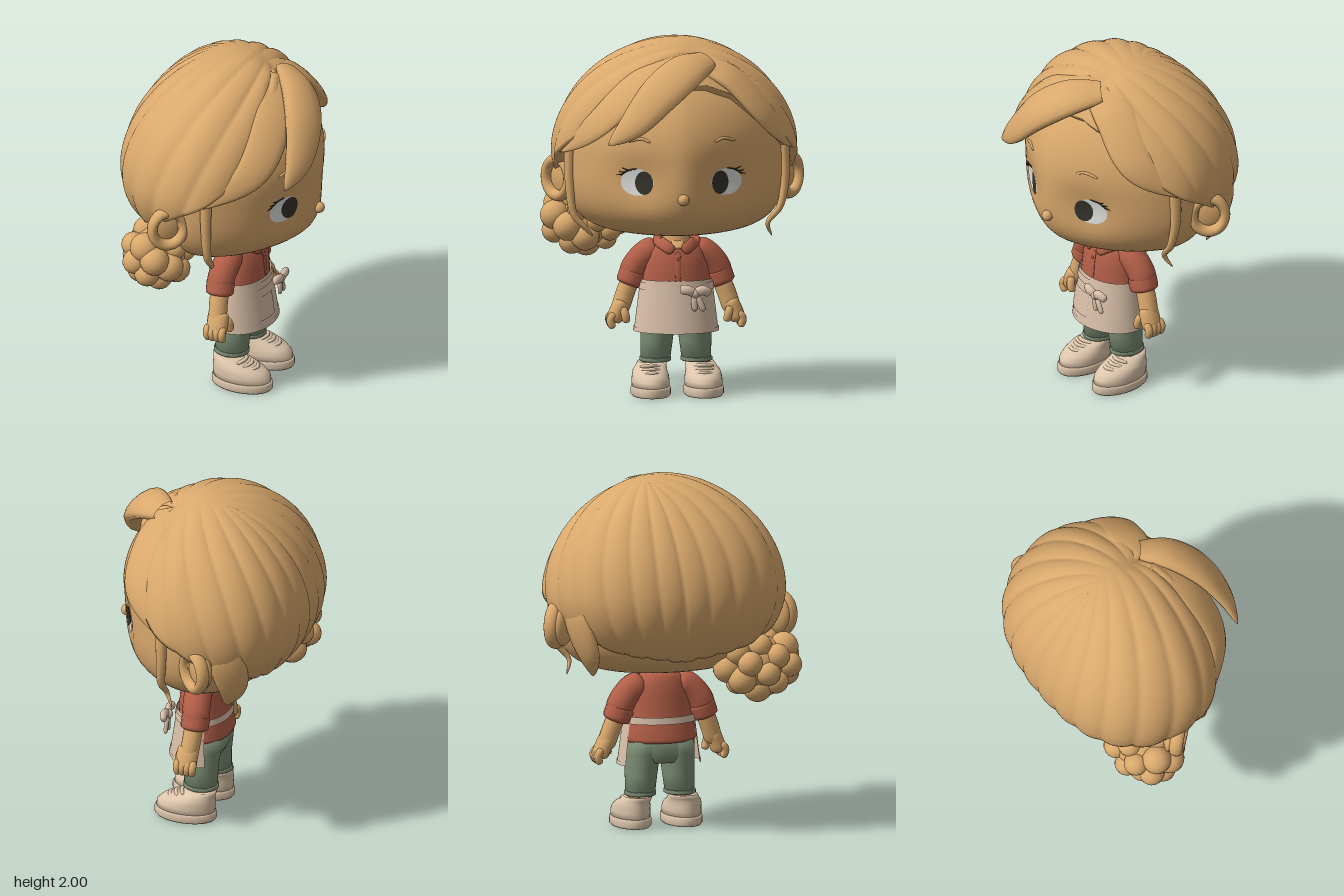
import * as THREE from 'three';
import { mergeVertices } from 'three/addons/utils/BufferGeometryUtils.js';

const V = (x, y, z) => new THREE.Vector3(x, y, z);
const mat = (name, color, side = THREE.FrontSide) => {
  const m = new THREE.MeshStandardMaterial({ color, side });
  m.name = name;
  return m;
};
const { sin, cos, abs, min, max, pow, exp, PI } = Math;

// Smooth surface from a rule f(u, v) -> Vector3
function grid(nu, nv, f) {
  const pos = [], idx = [];
  for (let j = 0; j <= nv; j++)
    for (let i = 0; i <= nu; i++) pos.push(...f(i / nu, j / nv).toArray());
  for (let j = 0; j < nv; j++)
    for (let i = 0; i < nu; i++) {
      const a = j * (nu + 1) + i, c = a + nu + 1;
      idx.push(a, a + 1, c, a + 1, c + 1, c);
    }
  let g = new THREE.BufferGeometry();
  g.setAttribute('position', new THREE.Float32BufferAttribute(pos, 3));
  g.setIndex(idx);
  g = mergeVertices(g, 1e-5);
  g.computeVertexNormals();
  return g;
}

// Stacked ellipses, rows of [y, rx, rz, cz, cx], closed at both ends
function loft(rows, seg = 36) {
  const all = [rows[0], ...rows, rows[rows.length - 1]];
  const n = all.length - 1;
  return grid(seg, n, (u, v) => {
    const j = Math.round(v * n), [y, rx, rz, cz = 0, cx = 0] = all[j];
    const k = j === 0 || j === n ? 0 : 1, a = u * 2 * PI;
    return V(cx + k * rx * sin(a), y, cz + k * rz * cos(a));
  });
}

// Tapered sweep; the flat side faces away from the given centre
const roundEnds = v => Math.sqrt(max(0, 1 - pow(2 * v - 1, 6)));
const lockTaper = v => pow(max(0, sin(PI * (0.15 + 0.85 * v))), 0.75);
const tailTaper = v => pow(max(0, 1 - v), 0.6);
function sweep(pts, w, th = w, prof = roundEnds, centre = V(0, 0.6, -6), nv = 24) {
  const curve = new THREE.CatmullRomCurve3(pts.map(p => V(...p)));
  return grid(14, nv, (u, v) => {
    const p = curve.getPoint(v), t = curve.getTangent(v);
    const out = p.clone().sub(centre);
    out.addScaledVector(t, -out.dot(t)).normalize();
    const side = out.clone().cross(t), f = prof(v), a = u * 2 * PI;
    return p.addScaledVector(side, w * f * cos(a)).addScaledVector(out, th * f * sin(a));
  });
}

// Head and hair forms: tapering to the front, the head flatter below the middle
const CY = 1.37, HC = V(0, CY, 0);
const HEAD = { a: 0.62, f: 0.528, b: 0.42, up: 0.57, dn: 0.47, nf: 1.62, nb: 2.1, pu: 2, pd: 3.5 };
const HAIR = { a: 0.685, f: 0.565, b: 0.585, up: 0.63, dn: 0.5, nf: 1.65, nb: 2.35, pu: 1.87, pd: 2 };
function radius(d, s) {
  const n = d.z > 0 ? s.nf : s.nb;
  const q = pow(pow(abs(d.x) / s.a, n) + pow(abs(d.z) / (d.z > 0 ? s.f : s.b), n), 1 / n);
  const p = d.y > 0 ? s.pu : s.pd;
  return pow(pow(q, p) + pow(abs(d.y) / (d.y > 0 ? s.up : s.dn), p), -1 / p);
}
function frontZ(x, y, s) {
  const h = y - CY, p = h > 0 ? s.pu : s.pd, c = h > 0 ? s.up : s.dn;
  const q = pow(max(0, 1 - pow(abs(h) / c, p)), s.nf / p);
  return s.f * pow(max(0, q - pow(abs(x) / s.a, s.nf)), 1 / s.nf);
}
const socket = (x, y) => 0.04 * exp(-((abs(x) - 0.24) ** 2 + (y - 1.24) ** 2) / 0.02);
const onFace = (x, y, off) => [x, y, frontZ(x, y, HEAD) - socket(x, y) + off];
const onHair = ([x, y, off]) => [x, y, frontZ(x, y, HAIR) + off];
const patch = (cx, cy, rx, ry, off) => grid(32, 6, (u, v) => V(...onFace(
  cx + rx * (1 - v) * cos(u * 2 * PI), cy + ry * (1 - v) * sin(u * 2 * PI), off)));

// Polar angle of the hair's lower edge by direction, in degrees from the front
const HEM = [[0, 46], [20, 46], [40, 53], [63, 76], [80, 89], [110, 106], [140, 122], [180, 134]];
function hem(phi) {
  const d = abs(phi) * 180 / PI;
  const i = max(1, HEM.findIndex(h => h[0] >= d - 1e-6));
  const [d0, t0] = HEM[i - 1], [d1, t1] = HEM[i];
  return (t0 + (t1 - t0) * (d - d0) / (d1 - d0)) * PI / 180;
}

export function createModel() {
  const tan = mat('skin and hair tan', 0xd9a86c), shirt = mat('shirt rust', 0xb35f48);
  const apron = mat('apron cream', 0xd9bfa8, THREE.DoubleSide), pants = mat('trousers sage', 0x7c8d74);
  const shoe = mat('shoe beige', 0xddc5ab), white = mat('eye white', 0xe2e2e0), dark = mat('eye dark', 0x35332b);
  const root = new THREE.Group(), body = new THREE.Group();
  root.name = 'figure';
  body.name = 'body';
  body.rotation.y = PI / 2; // the figure looks along +x
  root.add(body);
  const add = (name, geo, m, p) => {
    const mesh = new THREE.Mesh(geo, m);
    mesh.name = name;
    if (p) mesh.position.set(...p);
    body.add(mesh);
    return mesh;
  };

  // Head and nose
  add('head', grid(80, 56, (u, v) => {
    const a = (u - 0.5) * 2 * PI, t = PI * (1 - v);
    const d = V(sin(t) * sin(a), cos(t), sin(t) * cos(a));
    const p = d.multiplyScalar(radius(d, HEAD)).add(HC);
    if (p.z > 0) p.z -= socket(p.x, p.y) * min(1, p.z * 4);
    return p;
  }), tan);
  add('nose', new THREE.SphereGeometry(0.032, 20, 14), tan, [0, 1.15, 0.522]);

  // Hair cap: strands fan out and sweep back from a parting line
  add('hairCap', grid(252, 48, (u, v) => {
    const s = 1 - v, t = min(1, s / 0.92), tuck = max(0, (s - 0.92) / 0.08);
    const phi = (u - 0.5) * 2 * PI, th = t * hem(phi), k = 1 - t;
    const d = V(sin(th) * sin(phi) + 0.19 * k, cos(th), sin(th) * cos(phi) + k * (0.12 + 0.28 * cos(phi))).normalize();
    const lobe = pow(abs(sin(9 * (phi - 0.55 * t * sin(phi)))), 0.6);
    const part = 0.045 * max(0, cos(phi)) * exp(-36 * t * t);
    const r = radius(d, HAIR) * (1.008 - part - 0.025 * (1 - lobe) * min(1, t * 3)) * (1 - 0.4 * tuck);
    return d.multiplyScalar(r).add(HC);
  }), tan);

  // Loose locks: [points, width, thickness, taper]
  const locks = {
    fringe: [[[0.15, 1.9, 0.25], [0.03, 1.86, 0.38], [-0.12, 1.75, 0.48], [-0.28, 1.58, 0.52], [-0.42, 1.46, 0.5]], 0.125, 0.058, lockTaper],
    leftSweep: [[[0.04, 1.91, -0.02], [-0.22, 1.78, -0.01], [-0.46, 1.56, 0], [-0.655, 1.37, -0.02]].map(onHair), 0.115, 0.034, lockTaper],
    rightSweep: [[[0.12, 1.88, -0.02], [0.29, 1.8, -0.01], [0.49, 1.58, 0], [0.655, 1.38, -0.02]].map(onHair), 0.12, 0.034, lockTaper],
    leftSideStrand: [[[-0.6, 1.42, 0.1], [-0.6, 1.2, 0.1], [-0.575, 1.02, 0.1], [-0.5, 0.93, 0.09], [-0.465, 0.89, 0.06]], 0.035, 0.03, tailTaper],
    rightSideStrand: [[[0.6, 1.42, 0.1], [0.605, 1.2, 0.1], [0.575, 1.05, 0.11], [0.51, 0.96, 0.1], [0.535, 0.88, 0.06]], 0.035, 0.03, tailTaper],
    rightNapeLock: [[[0.59, 1.4, -0.24], [0.57, 1.24, -0.28], [0.515, 1.06, -0.29], [0.47, 0.92, -0.24]], 0.1, 0.045, lockTaper],
  };
  for (const [name, [pts, w, th, prof]] of Object.entries(locks))
    add(name, sweep(pts, w, th, prof, HC, 32), tan);

  // Curly low bun
  for (let i = 0; i < 24; i++) {
    const y = 1 - 2 * (i + 0.5) / 24, r = Math.sqrt(1 - y * y), a = i * 2.39996;
    add('bunCurl', new THREE.SphereGeometry(0.074 + 0.01 * sin(i * 5), 18, 12), tan,
      [-0.485 + 0.19 * r * cos(a), 0.95 + 0.138 * y, -0.24 + 0.14 * r * sin(a)]);
  }
  add('bunCore', new THREE.SphereGeometry(0.16, 20, 14), tan, [-0.485, 0.95, -0.24]);

  for (const s of [-1, 1]) {
    // Ears: a rim around a shallow filled bowl
    const rim = add('earRim', new THREE.TorusGeometry(0.096, 0.03, 14, 36), tan, [s * 0.645, 1.2, -0.11]);
    rim.scale.set(0.95, 1.08, 1.3);
    rim.rotation.y = s * 0.9;
    const bowl = add('earBowl', new THREE.SphereGeometry(0.108, 28, 18), tan, [s * 0.613, 1.2, -0.135]);
    bowl.scale.set(0.95, 1.08, 0.42);
    bowl.rotation.y = s * 0.9;

    // Eyes, lashes and brows
    add('eyeWhite', patch(s * 0.25, 1.24, 0.088, 0.076, 0.004), white);
    add('iris', patch(s * 0.213, 1.238, 0.048, 0.066, 0.007), dark);
    add('lashLine', sweep([onFace(s * 0.25, 1.318, 0.005), onFace(s * 0.3, 1.304, 0.005), onFace(s * 0.34, 1.275, 0.005)], 0.004), dark);
    for (const k of [0, 1, 2])
      add('lash', sweep([onFace(s * (0.3 + k * 0.015), 1.305 - k * 0.012, 0.005), onFace(s * (0.335 + k * 0.015), 1.32 - k * 0.022, 0.012)], 0.005, 0.005, tailTaper), dark);
    add('brow', sweep([onFace(s * 0.18, 1.47, 0), onFace(s * 0.23, 1.488, 0.002), onFace(s * 0.3, 1.468, 0)], 0.008), tan);

    // Sleeve, cuff, forearm and hand
    add('sleeve', sweep([[s * 0.09, 0.825, 0.045], [s * 0.165, 0.785, 0.04], [s * 0.225, 0.715, 0.03], [s * 0.255, 0.64, 0.025]], 0.078), shirt);
    add('cuff', sweep([[s * 0.232, 0.69, 0.027], [s * 0.262, 0.605, 0.03]], 0.08), shirt);
    add('forearm', sweep([[s * 0.25, 0.65, 0.03], [s * 0.285, 0.56, 0.035], [s * 0.32, 0.45, 0.045]], 0.053), tan);
    add('palm', sweep([[s * 0.295, 0.53, 0.045], [s * 0.325, 0.47, 0.048], [s * 0.35, 0.4, 0.05]], 0.046, 0.062), tan);
    for (let k = 0; k < 4; k++)
      add('finger', sweep([[s * 0.345, 0.46, 0.002 + k * 0.03], [s * 0.37, 0.42, 0.002 + k * 0.03], [s * 0.355, 0.372, 0.01 + k * 0.027]], 0.022), tan);
    add('thumb', sweep([[s * 0.3, 0.49, 0.09], [s * 0.288, 0.45, 0.105], [s * 0.28, 0.405, 0.1]], 0.023), tan);

    // Trouser leg, hem and ankle
    add('trouserLeg', loft([[0.186, 0.082, 0.094, 0.04, s * 0.115], [0.3, 0.09, 0.1, 0.045, s * 0.108],
      [0.42, 0.098, 0.115, 0.045, s * 0.1], [0.5, 0.1, 0.12, 0.045, s * 0.095]]), pants);
    add('trouserHem', loft([[0.184, 0.084, 0.096, 0.04, s * 0.115], [0.188, 0.089, 0.101, 0.04, s * 0.115],
      [0.204, 0.089, 0.101, 0.04, s * 0.115], [0.208, 0.084, 0.096, 0.04, s * 0.115]]), pants);
    add('ankle', new THREE.CylinderGeometry(0.062, 0.062, 0.1, 24), tan, [s * 0.125, 0.17, 0.045]);

    // Shoe
    const x = s * 0.148;
    add('shoeSole', loft([[0, 0.102, 0.17, 0.12, x], [0.012, 0.112, 0.18, 0.12, x], [0.045, 0.112, 0.18, 0.12, x], [0.055, 0.105, 0.172, 0.12, x]]), shoe);
    add('shoeUpper', loft([[0.04, 0.104, 0.172, 0.12, x], [0.085, 0.106, 0.17, 0.116, x], [0.115, 0.102, 0.155, 0.1, x],
      [0.14, 0.095, 0.126, 0.075, x], [0.16, 0.086, 0.1, 0.046, x - s * 0.01], [0.18, 0.08, 0.084, 0.025, x - s * 0.015], [0.175, 0.06, 0.066, 0.025, x - s * 0.015]]), shoe);
    for (let k = 0; k < 3; k++)
      add('shoeLace', sweep([[x - 0.06, 0.158 - k * 0.017, 0.115 + k * 0.032], [x, 0.168 - k * 0.017, 0.14 + k * 0.036], [x + 0.06, 0.158 - k * 0.017, 0.115 + k * 0.032]], 0.011), shoe);
    const tread = add('shoeTread', new THREE.CylinderGeometry(1, 1, 0.004, 36), tan, [x, 0.0015, 0.12]);
    tread.scale.set(0.098, 1, 0.165);

    // Collar wing
    add('collar', sweep([[s * 0.085, 0.885, 0.02], [s * 0.1, 0.865, 0.1], [s * 0.065, 0.842, 0.165], [s * 0.025, 0.812, 0.183]], 0.032, 0.013), shirt);

    // Bow loop and tail
    add('bowLoop', sweep([[0.09, 0.585, 0.245], [0.09 + s * 0.04, 0.605, 0.255], [0.09 + s * 0.085, 0.595 - s * 0.012, 0.24]], 0.027, 0.02), apron);
    add('bowTail', sweep([[0.09, 0.58, 0.24], [0.1 + s * 0.015, 0.54, 0.245], [0.115 + s * 0.025, 0.485, 0.243]], 0.018, 0.012), apron);
  }
  add('bowKnot', new THREE.SphereGeometry(0.028, 16, 12), apron, [0.09, 0.587, 0.245]);

  // Neck, shirt and hips
  add('neck', new THREE.CylinderGeometry(0.07, 0.085, 0.14, 28), tan, [0, 0.87, 0.07]);
  add('shirtBody', loft([[0.49, 0.2, 0.145, 0.045], [0.51, 0.212, 0.152, 0.045], [0.58, 0.2, 0.142, 0.055], [0.65, 0.19, 0.135, 0.062],
    [0.74, 0.178, 0.128, 0.062], [0.81, 0.16, 0.115, 0.06], [0.85, 0.13, 0.095, 0.055], [0.88, 0.085, 0.075, 0.05]]), shirt);
  add('neckOpening', sweep([[0, 0.88, 0.125], [0, 0.828, 0.172]], 0.035, 0.01), tan);
  add('placket', sweep([[0, 0.81, 0.175], [0, 0.74, 0.189], [0, 0.64, 0.197]], 0.016, 0.005), shirt);
  for (const y of [0.77, 0.7]) add('button', new THREE.SphereGeometry(0.008, 10, 8), shirt, [0, y, 0.19]);
  add('hips', loft([[0.37, 0.17, 0.1, 0.045], [0.41, 0.195, 0.12, 0.045], [0.52, 0.195, 0.13, 0.045]]), pants);

  // Apron skirt, hem, tie and pocket on one flared form
  const skirt = (a, y, off) => {
    const k = (y - 0.36) / 0.29;
    return V((0.236 - 0.036 * k + off) * sin(a), y, 0.062 + (0.186 - 0.043 * k + off) * cos(a));
  };
  add('apronSkirt', grid(48, 8, (u, v) => skirt((u - 0.5) * 4, 0.36 + 0.29 * v, 0)), apron);
  add('apronHem', grid(48, 2, (u, v) => skirt((u - 0.5) * 4, 0.358 + 0.022 * v, 0.004)), apron);
  add('apronTie', grid(56, 2, (u, v) => skirt((u - 0.5) * 2 * PI, 0.595 + 0.04 * v, 0.006)), apron);
  add('apronPocket', grid(24, 4, (u, v) => skirt(-0.85 + u * 0.9, 0.41 + 0.14 * v, 0.006)), apron);

  return root;
}
